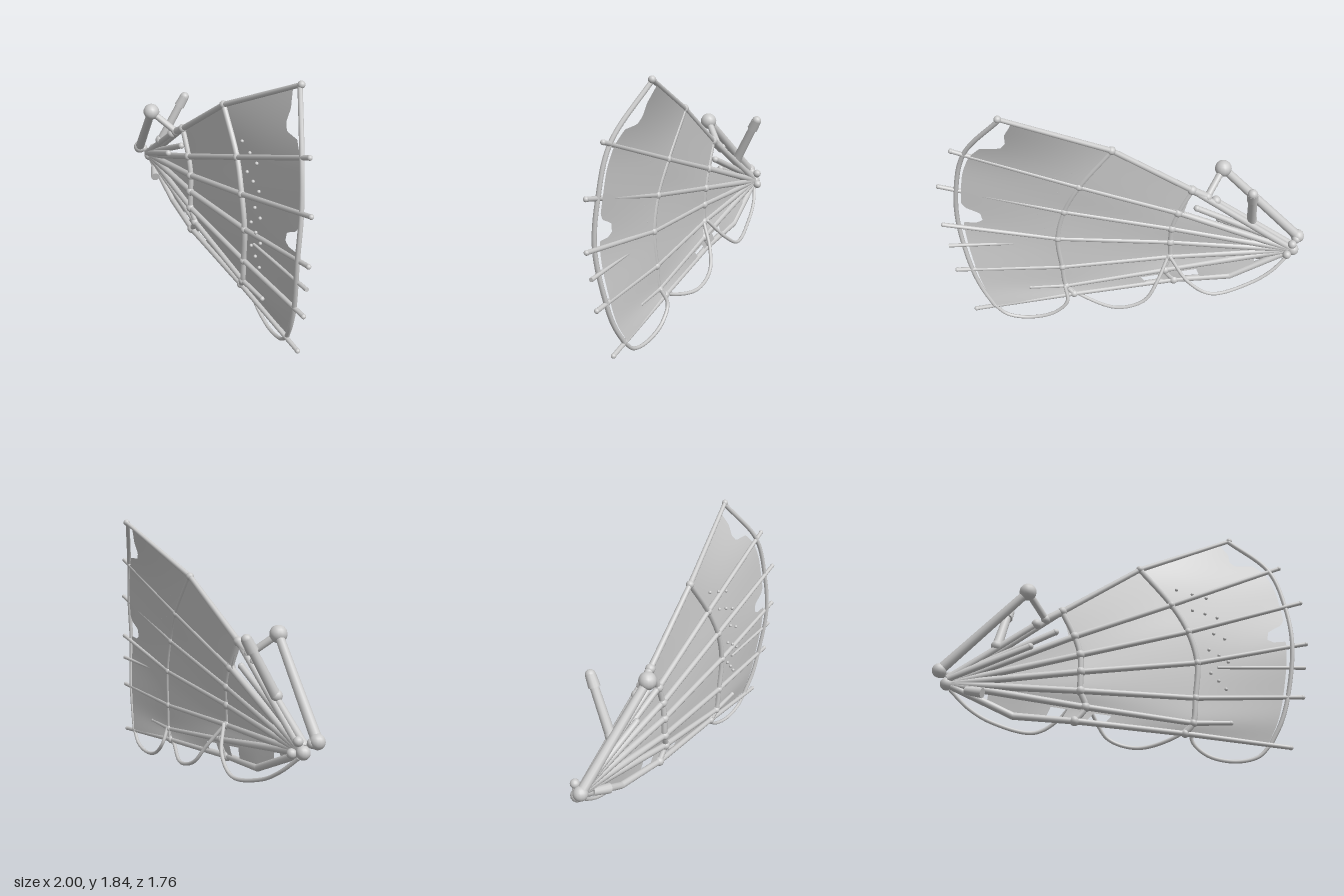
import * as THREE from 'three';

const V = (a) => new THREE.Vector3(...a);
const grey = new THREE.MeshStandardMaterial({ color: 0xcccccc });
const greyThin = new THREE.MeshStandardMaterial({ color: 0xcccccc, side: THREE.DoubleSide });

// Where the seven ribs (top to bottom) meet the inner, middle and outer hoops
const HUB = [-0.87, 0.5, -0.84];
const INNER = [[-0.32, 1.06, -0.3], [-0.25, 0.87, -0.24], [-0.22, 0.73, -0.21], [-0.22, 0.6, -0.2],
  [-0.22, 0.46, -0.2], [-0.18, 0.35, -0.19], [-0.23, 0.25, -0.24]];
const MIDDLE = [[0.13, 1.45, 0.04], [0.29, 1.16, 0.2], [0.36, 0.94, 0.29], [0.4, 0.7, 0.33],
  [0.39, 0.44, 0.31], [0.38, 0.26, 0.29], [0.35, 0.19, 0.24]];
const OUTER = [[0.75, 1.81, 0.4], [0.86, 1.48, 0.68], [0.9, 1.16, 0.77], [0.9, 0.85, 0.8],
  [0.88, 0.47, 0.74], [0.85, 0.29, 0.69], [0.81, 0.14, 0.62]];
const NEAR = INNER.map((p, i) => i === 6 ? [-0.52, 0.285, -0.54] : p.map((c, k) => (c + HUB[k]) / 2));
const TIPS = [[0.76, 1.815, 0.405], [0.92, 1.51, 0.73], [0.98, 1.2, 0.85], [0.985, 0.87, 0.86],
  [0.96, 0.47, 0.81], [0.58, 0.27, 0.46], [0.91, 0.115, 0.71]];

const hoops = [INNER.map(() => HUB), NEAR, INNER, MIDDLE, OUTER].map((h) => new THREE.CatmullRomCurve3(h.map(V)));
const STATIONS = [0, 0.5, 1, 2, 3];

// Point on the fan: u runs from hub (0) to outer hoop (3), v across the ribs (0..6)
function fanPoint(u, v) {
  let i = 0;
  while (i < 3 && u > STATIONS[i + 1]) i++;
  const t = (u - STATIONS[i]) / (STATIONS[i + 1] - STATIONS[i]);
  return hoops[i].getPoint(v / 6).lerp(hoops[i + 1].getPoint(v / 6), t);
}

function lookup(table, x) {
  const i = Math.max(1, table.findIndex((p) => p[0] >= x));
  const [a, b] = [table[i - 1], table[i]];
  return a[1] + (b[1] - a[1]) * (x - a[0]) / (b[0] - a[0]);
}

function add(parent, name, geometry, material = grey) {
  const mesh = new THREE.Mesh(geometry, material);
  mesh.name = name;
  parent.add(mesh);
  return mesh;
}

function ball(parent, name, p, r) {
  add(parent, name, new THREE.SphereGeometry(r, 14, 10)).position.set(...p);
}

// Smooth cord with rounded ends
function cord(parent, name, pts, r, segs = 48) {
  add(parent, name, new THREE.TubeGeometry(new THREE.CatmullRomCurve3(pts.map(V)), segs, r, 8));
  [pts[0], pts[pts.length - 1]].forEach((p) => ball(parent, name + 'End', p, r));
}

// Straight tapered rod
function rod(parent, name, a, b, ra, rb = ra) {
  const p = V(a), d = V(b).sub(p);
  const mesh = add(parent, name, new THREE.CylinderGeometry(rb, ra, d.length(), 12));
  mesh.position.copy(p).addScaledVector(d, 0.5);
  mesh.quaternion.setFromUnitVectors(new THREE.Vector3(0, 1, 0), d.normalize());
}

function membraneGeometry() {
  const rows = 168, cols = 64, pos = [], index = [], us = [];
  // Ragged outer edge and inner edge, both by v
  const outerEdge = [[0, 2.9], [0.3, 2.86], [0.48, 2.79], [0.62, 2.79], [0.75, 2.92], [1, 2.95], [1.5, 2.96],
    [2.3, 2.95], [2.42, 2.91], [2.52, 2.77], [2.72, 2.75], [2.82, 2.81], [2.86, 2.94], [4, 2.95], [6, 2.97]];
  const innerEdge = [[0, 1], [0.9, 0.96], [1, 0.4], [2, 0.3], [6, 0.3]];
  for (let j = 0; j <= rows; j++) {
    const v = 6 * j / rows, u0 = lookup(innerEdge, v), u1 = lookup(outerEdge, v);
    for (let i = 0; i <= cols; i++) {
      const u = u0 + (u1 - u0) * i / cols, p = fanPoint(u, v);
      pos.push(p.x + 0.008, p.y, p.z - 0.008);
      us.push(u);
      if (i === cols || j === rows) continue;
      // Two small openings above the bottom spar
      const hole = v > 5.25 && v < 5.85 && ((u > 1.08 && u < 1.23) || (u > 0.74 && u < 0.86));
      const a = j * (cols + 1) + i, b = a + cols + 1;
      if (!hole) index.push(a, b, a + 1, b, b + 1, a + 1);
    }
  }
  const g = new THREE.BufferGeometry();
  g.setAttribute('position', new THREE.Float32BufferAttribute(pos, 3));
  g.setIndex(index);
  g.computeVertexNormals();
  return g;
}

export function createModel() {
  const model = new THREE.Group();
  model.name = 'wing';
  add(model, 'membrane', membraneGeometry(), greyThin);

  // Ribs from hub to tip, with lashings at the hoops
  const ribs = new THREE.Group();
  ribs.name = 'ribs';
  model.add(ribs);
  TIPS.forEach((tip, i) => {
    const pts = [HUB, NEAR[i], INNER[i], MIDDLE[i], tip];
    for (let k = 0; k < 4; k++) {
      const r = [0.026, 0.025, 0.022, 0.019, 0.015];
      rod(ribs, 'rib', pts[k], pts[k + 1], r[k], r[k + 1]);
      if (k) ball(ribs, 'ribJoint', pts[k], r[k]);
    }
    ball(ribs, 'ribTip', tip, i ? 0.017 : 0.024);
    ball(ribs, 'innerLashing', INNER[i], 0.034);
    ball(ribs, 'middleLashing', MIDDLE[i], 0.029);
  });
  rod(ribs, 'shortRib', [0.5, 0.665, 0.43], [0.98, 0.69, 0.84], 0.01, 0.014);

  // Hoops across the ribs
  cord(model, 'innerHoop', INNER, 0.021);
  cord(model, 'middleHoop', MIDDLE, 0.02);
  cord(model, 'outerHoop', OUTER, 0.016);

  // Slack cords hanging below the bottom spar
  cord(model, 'hangingCord', [[0.81, 0.14, 0.62], [0.75, 0.05, 0.55], [0.63, 0.015, 0.43],
    [0.5, 0.06, 0.3], [0.42, 0.16, 0.24], [0.4, 0.26, 0.28]], 0.013);
  cord(model, 'hangingCord', [[0.38, 0.26, 0.29], [0.31, 0.17, 0.19], [0.18, 0.11, -0.04],
    [0.03, 0.17, -0.18], [-0.07, 0.3, -0.21], [-0.2, 0.46, -0.2]], 0.013);
  cord(model, 'hangingCord', [[-0.2, 0.47, -0.23], [-0.23, 0.31, -0.38], [-0.34, 0.205, -0.52],
    [-0.58, 0.26, -0.69], [-0.72, 0.35, -0.78], [-0.84, 0.46, -0.83]], 0.013);

  // Studs scattered on the membrane
  for (let k = 0; k < 16; k++) {
    const p = fanPoint(2.14 + 0.09 * ((k * 7) % 3), 0.7 + k * 0.22);
    ball(model, 'stud', [p.x, p.y, p.z], 0.012);
  }

  // Hinged arm
  const arm = new THREE.Group();
  arm.name = 'hingedArm';
  model.add(arm);
  const elbow = [-0.6, 1.13, -0.35], foot = [-0.95, 0.57, -0.82], wrist = [-0.41, 0.99, -0.37];
  rod(arm, 'lowerArm', foot, elbow, 0.036, 0.03);
  rod(arm, 'upperArm', elbow, wrist, 0.025);
  rod(arm, 'armLink', wrist, INNER[0], 0.028);
  ball(arm, 'elbow', elbow, 0.06);
  ball(arm, 'foot', foot, 0.05);
  ball(arm, 'wrist', wrist, 0.034);

  // Short struts beside the arm
  [[-0.46, 0.95, -0.41], [-0.35, 0.9, -0.33], [-0.5, 0.77, -0.42]].forEach((end, i) => {
    rod(model, 'strut', [-0.88, 0.53, -0.82], end, 0.027, 0.022);
    ball(model, 'strutEnd', end, i ? 0.024 : 0.036);
  });

  // Handle post behind
  rod(model, 'handle', [-0.65, 0.77, -0.6], [-0.51, 1.08, -0.685], 0.035, 0.03);
  rod(model, 'handleHead', [-0.515, 1.065, -0.68], [-0.48, 1.14, -0.7], 0.04, 0.036);
  ball(model, 'handleTop', [-0.48, 1.14, -0.7], 0.035);
  ball(model, 'handleBase', [-0.65, 0.78, -0.6], 0.04);

  // Knotted hub
  ball(model, 'hub', HUB, 0.045);
  [[-0.92, 0.56, -0.83], [-0.84, 0.57, -0.85], [-0.8, 0.49, -0.84], [-0.86, 0.54, -0.81]]
    .forEach((p) => ball(model, 'hubKnot', p, 0.032));
  rod(model, 'peg', [-0.72, 0.42, -0.63], [-0.78, 0.45, -0.74], 0.036, 0.028);
  return model;
}
